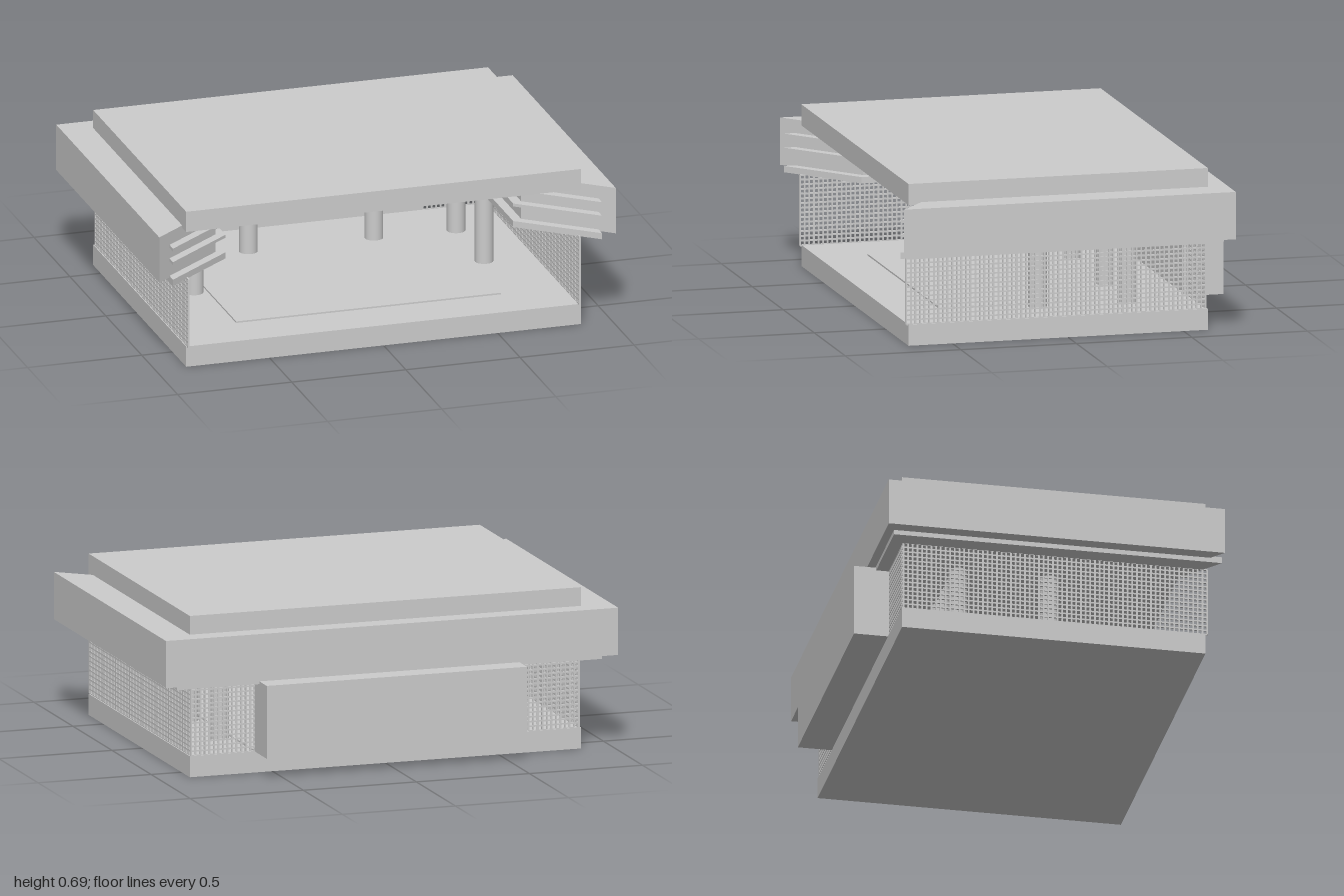
import * as THREE from 'three';
import { mergeGeometries } from 'three/addons/utils/BufferGeometryUtils.js';

const material = new THREE.MeshStandardMaterial({ color: 0xcccccc });

export function createModel() {
  const model = new THREE.Group();

  const add = (name, geometry) => {
    const mesh = new THREE.Mesh(geometry, material);
    mesh.name = name;
    model.add(mesh);
    return mesh;
  };

  // Box given by its limits on each axis
  const boxGeo = (x0, x1, y0, y1, z0, z1) =>
    new THREE.BoxGeometry(x1 - x0, y1 - y0, z1 - z0)
      .translate((x0 + x1) / 2, (y0 + y1) / 2, (z0 + z1) / 2);

  // U-shaped plate, open at the front, with slanted front ends
  const uPlate = (outerX, innerX, backZ, innerZ, tipZ, y0, y1) => {
    const inTipZ = tipZ - (outerX - innerX) * 0.815;
    const outline = [
      [outerX, tipZ], [outerX, backZ], [-outerX, backZ], [-outerX, tipZ],
      [-innerX, inTipZ], [-innerX, innerZ], [innerX, innerZ], [innerX, inTipZ],
    ];
    const shape = new THREE.Shape(outline.map(([x, z]) => new THREE.Vector2(x, -z)));
    return new THREE.ExtrudeGeometry(shape, { depth: y1 - y0, bevelEnabled: false })
      .rotateX(-Math.PI / 2)
      .translate(0, y0, 0);
  };

  // Wire screen of crossing bars; the run follows x or z
  const screenGeo = (alongX, from, to, at) => {
    const y0 = 0.09, y1 = 0.39, pitch = 0.02, w = 0.0035;
    const bar = (a0, a1, b0, b1) => alongX
      ? boxGeo(a0, a1, b0, b1, at - w, at + w)
      : boxGeo(at - w, at + w, b0, b1, a0, a1);
    const bars = [];
    const columns = Math.round((to - from) / pitch);
    for (let i = 0; i <= columns; i++) {
      const a = from + ((to - from) * i) / columns;
      bars.push(bar(a - w, a + w, y0, y1));
    }
    const rows = Math.round((y1 - y0) / pitch);
    for (let i = 0; i <= rows; i++) {
      const y = y0 + ((y1 - y0) * i) / rows;
      bars.push(bar(from, to, y - w, y + w));
    }
    return mergeGeometries(bars);
  };

  // Base, inner floor and roof
  add('base', boxGeo(-0.865, 0.865, 0, 0.09, -0.605, 0.69));
  add('innerFloor', boxGeo(-0.58, 0.58, 0.085, 0.097, -0.6, 0.48));
  add('roof', boxGeo(-0.865, 0.865, 0.6, 0.69, -0.605, 0.69));

  // Box on the back wall
  add('rearBox', boxGeo(-0.575, 0.575, 0.088, 0.4, -0.75, -0.58));

  // Upper gallery wrapping three sides, with ledges stepping out of it
  add('gallery', uPlate(1, 0.67, -0.69, -0.36, 0.745, 0.408, 0.61));
  for (const [y0, y1] of [[0.388, 0.415], [0.48, 0.493], [0.54, 0.553]]) {
    add('ledge', uPlate(0.94, 0.63, -0.655, -0.345, 0.745, y0, y1));
  }

  // Round columns along the inner edge of the gallery
  for (const side of [-1, 1]) {
    for (const [x, z] of [[0.635, 0.07], [0.635, -0.32], [0.275, -0.32]]) {
      add('column', new THREE.CylinderGeometry(0.039, 0.039, 0.515, 32)
        .translate(side * x, 0.3425, z));
    }
  }

  // Wire screens on the sides and at the back corners
  for (const side of [-1, 1]) {
    add('sideScreen', screenGeo(false, -0.598, 0.698, side * 0.857));
    add('backScreen', screenGeo(true, side < 0 ? -0.857 : 0.575, side < 0 ? -0.575 : 0.857, -0.598));
  }

  return model;
}
